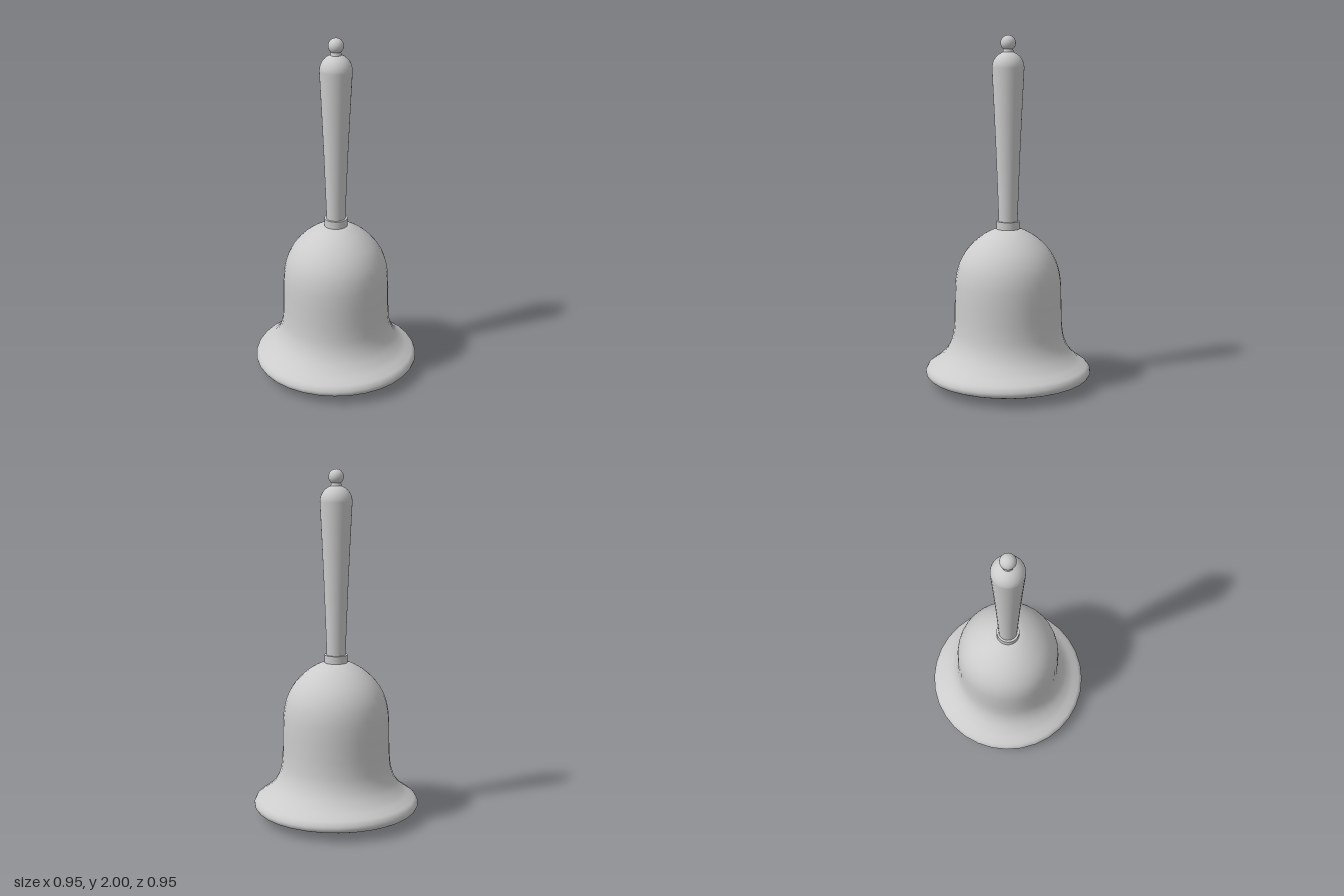
import * as THREE from 'three';

const SIDES = 32;
const material = new THREE.MeshStandardMaterial({ color: 0xcccccc });

const toPoints = (pairs) => pairs.map(([r, y]) => new THREE.Vector2(r, y));
const smooth = (pairs, steps) => new THREE.SplineCurve(toPoints(pairs)).getPoints(steps);

export function createModel() {
  const model = new THREE.Group();
  const add = (name, geometry, y = 0) => {
    const mesh = new THREE.Mesh(geometry, material);
    mesh.name = name;
    mesh.position.y = y;
    model.add(mesh);
    return mesh;
  };
  // profiles run from bottom to top along the outside
  const lathe = (name, points) => add(name, new THREE.LatheGeometry(points, SIDES));

  // bell: inner wall down from the crown, round the lip, up the outer wall
  const inner = smooth([
    [0, 0.88], [0.09, 0.865], [0.19, 0.79], [0.25, 0.69], [0.275, 0.55], [0.28, 0.4],
    [0.29, 0.27], [0.325, 0.18], [0.37, 0.115], [0.405, 0.06],
  ], 36);
  const outer = smooth([
    [0.452, 0.05], [0.47, 0.06], [0.477, 0.082], [0.465, 0.108], [0.44, 0.127], [0.395, 0.16],
    [0.35, 0.213], [0.322, 0.28], [0.311, 0.36], [0.308, 0.45], [0.306, 0.55], [0.299, 0.635],
    [0.278, 0.715], [0.235, 0.79], [0.17, 0.855], [0.1, 0.898], [0.05, 0.912], [0, 0.916],
  ], 60);
  lathe('bell', [...inner, ...toPoints([[0.415, 0.051]]), ...outer]);

  // collar between bell and handle
  add('collar', new THREE.CylinderGeometry(0.066, 0.066, 0.045, SIDES), 0.931);

  // tapered handle with a rounded end
  const dome = Array.from({ length: 9 }, (_, i) => {
    const a = (i / 8) * Math.PI / 2;
    return [0.091 * Math.cos(a), 1.82 + 0.092 * Math.sin(a)];
  });
  lathe('handle', toPoints([[0.053, 0.94], [0.06, 1.13], [0.069, 1.36], [0.08, 1.6], ...dome]));

  // finial on a short neck
  add('finialNeck', new THREE.CylinderGeometry(0.026, 0.032, 0.03, SIDES), 1.915);
  add('finial', new THREE.SphereGeometry(0.043, SIDES, 16), 1.957);

  // clapper hanging inside the bell
  add('clapperRod', new THREE.CylinderGeometry(0.023, 0.023, 0.79, 16), 0.495);
  add('clapperBall', new THREE.SphereGeometry(0.064, SIDES, 16), 0.07).scale.y = 1.09;

  return model;
}
